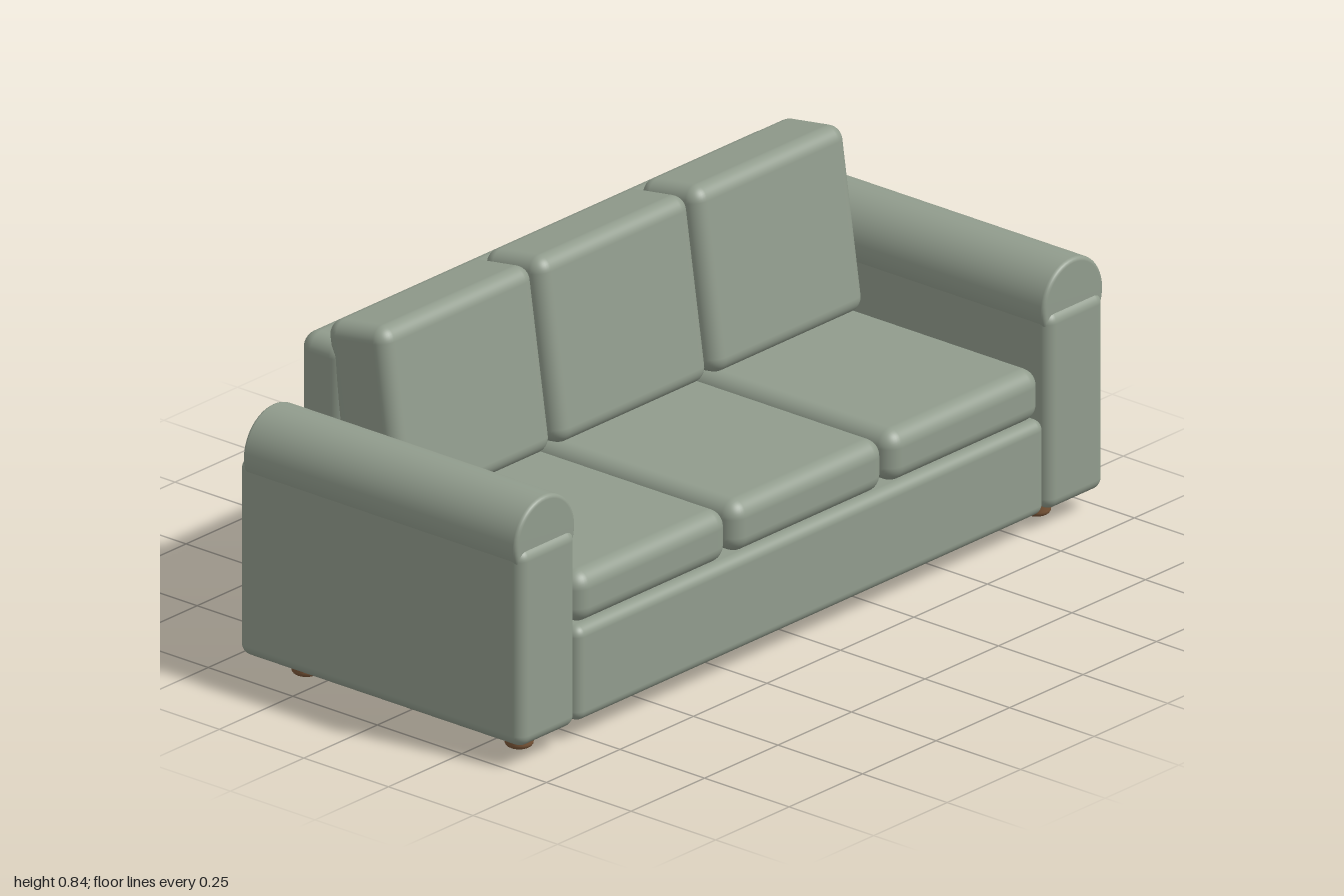
import * as THREE from 'three';
import { RoundedBoxGeometry } from 'three/addons/geometries/RoundedBoxGeometry.js';

const fabric = new THREE.MeshStandardMaterial({ color: 0x919c8d });
const wood = new THREE.MeshStandardMaterial({ color: 0x7a5638 });

// Solid of revolution about y with softened rims, centred on its own origin
function softCylinder(radius, length, bevel, segments) {
  const h = length / 2;
  const points = [new THREE.Vector2(0, -h)];
  for (const end of [-1, 1]) {
    for (let i = 0; i <= 4; i++) {
      const a = (end < 0 ? i - 4 : i) * Math.PI / 8;
      points.push(new THREE.Vector2(
        radius - bevel + bevel * Math.cos(a),
        end * (h - bevel) + bevel * Math.sin(a)));
    }
  }
  points.push(new THREE.Vector2(0, h));
  return new THREE.LatheGeometry(points, segments);
}

export function createModel() {
  const sofa = new THREE.Group();
  sofa.name = 'sofa';

  function add(name, geometry, material, x, y, z) {
    const mesh = new THREE.Mesh(geometry, material);
    mesh.name = name;
    mesh.position.set(x, y, z);
    sofa.add(mesh);
    return mesh;
  }
  const softBox = (w, h, d, r) => new RoundedBoxGeometry(w, h, d, 5, r);

  // Frame
  add('base', softBox(1.594, 0.23, 0.835, 0.025), fabric, 0, 0.166, -0.002);
  add('backrest', softBox(1.585, 0.492, 0.135, 0.04), fabric, 0, 0.526, -0.352);

  // Three loose seat and back cushions
  const seat = softBox(0.517, 0.125, 0.70, 0.04);
  const back = softBox(0.515, 0.44, 0.182, 0.036);
  ['right', 'middle', 'left'].forEach((side, i) => {
    const x = (i - 1) * 0.532;
    add(side + 'SeatCushion', seat, fabric, x, 0.343, 0.062);
    add(side + 'BackCushion', back, fabric, x, 0.61, -0.224).rotation.x = -0.147;
  });

  // Arms with a rolled top, and feet below them
  const arm = softBox(0.194, 0.479, 0.84, 0.028);
  const roll = softCylinder(0.102, 0.81, 0.01, 48);
  const foot = softCylinder(0.033, 0.056, 0.012, 24);
  for (const [side, s] of [['left', 1], ['right', -1]]) {
    add(side + 'Arm', arm, fabric, s * 0.898, 0.2915, 0);
    add(side + 'ArmRoll', roll, fabric, s * 0.898, 0.535, 0.005).rotation.x = Math.PI / 2;
    add(side + 'FrontFoot', foot, wood, s * 0.88, 0.028, 0.315);
    add(side + 'BackFoot', foot, wood, s * 0.88, 0.028, -0.315);
  }
  return sofa;
}
